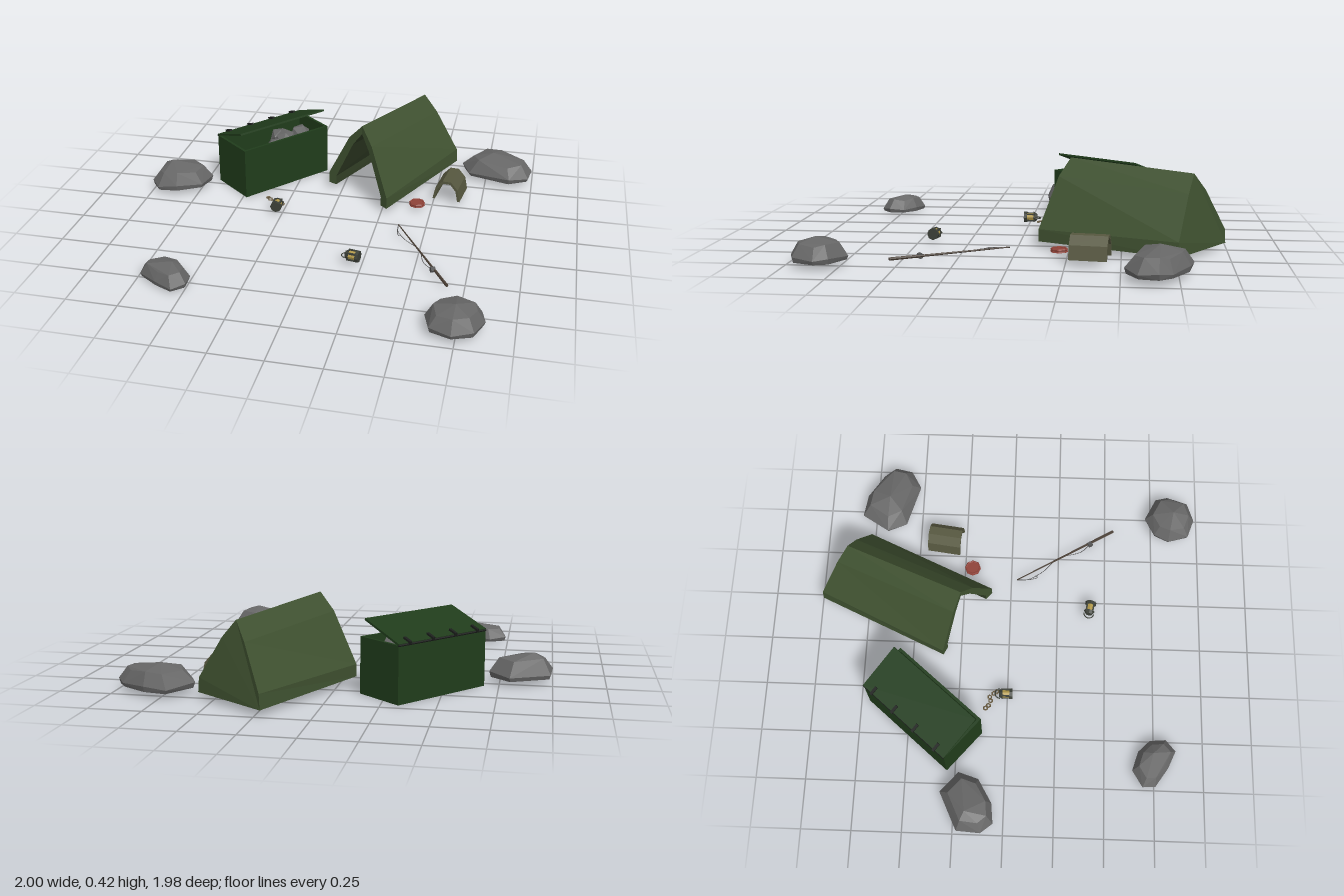
import * as THREE from 'three';
import { ConvexGeometry } from 'three/addons/geometries/ConvexGeometry.js';

const mat = (color, double) => new THREE.MeshStandardMaterial({
  color, flatShading: true, side: double ? THREE.DoubleSide : THREE.FrontSide });
const M = {
  tent: mat(0x3f5130, true), inner: mat(0x323f26, true), bin: mat(0x203c1b), dark: mat(0x1c1f1c), rock: mat(0x666666),
  seat: mat(0x56573f), red: mat(0x8f4238), wood: mat(0x4a3f35), metal: mat(0x3c4038),
  glass: mat(0xb39a4a), line: mat(0x555555), brass: mat(0x6b5d42),
};

function add(parent, name, geo, material, pos = [0, 0, 0], rot = [0, 0, 0]) {
  const m = new THREE.Mesh(geo, material);
  m.name = name;
  m.position.set(...pos);
  m.rotation.set(...rot);
  parent.add(m);
  return m;
}

function group(parent, name, pos, ry = 0) {
  const g = new THREE.Group();
  g.name = name;
  g.position.set(...pos);
  g.rotation.y = ry;
  parent.add(g);
  return g;
}

// Geometry from polygons, each fanned into triangles
function polyGeometry(polys) {
  const p = [];
  for (const q of polys)
    for (let i = 1; i < q.length - 1; i++) p.push(...q[0], ...q[i], ...q[i + 1]);
  const g = new THREE.BufferGeometry();
  g.setAttribute('position', new THREE.Float32BufferAttribute(p, 3));
  g.computeVertexNormals();
  return g;
}

// Tent: two slanted cross-sections joined by thick walls, closed at the back
function buildTent(root) {
  const g = group(root, 'tent', [0, 0, 0]);
  const section = (half, cx, cz, peakShift) => {
    const pts = [...half, ...half.slice(0, -1).reverse().map(([u, y]) => [-u, y])];
    return pts.map(([u, y]) => {
      const k = peakShift * (1 - Math.abs(u));
      return [cx + u * 0.177 - k * 0.7, y, cz + u * 0.12 + k];
    });
  };
  const outF = section([[-1, 0.03], [-1, 0.09], [-0.38, 0.335], [0, 0.42]], 0.102, -0.22, -0.025);
  const outB = section([[-1, 0.03], [-0.97, 0.1], [-0.36, 0.3], [0, 0.385]], 0.399, -0.875, 0.045);
  const inF = section([[-0.78, 0.03], [-0.78, 0.08], [-0.27, 0.3], [0, 0.375]], 0.102, -0.22, -0.025);
  const inB = section([[-0.8, 0.03], [-0.78, 0.09], [-0.28, 0.27], [0, 0.345]], 0.389, -0.85, 0.04);
  const strip = (a, b) => a.slice(1).map((_, i) => [a[i], a[i + 1], b[i + 1], b[i]]);
  const last = outF.length - 1;
  add(g, 'tentCanvas', polyGeometry([...strip(outF, outB), outB]), M.tent);
  add(g, 'tentFrontFrame', polyGeometry(strip(outF, inF)), M.tent);
  add(g, 'tentLining', polyGeometry([...strip(inF, inB), inB]), M.inner);
  add(g, 'tentHem', polyGeometry([
    ...[0, last].map(i => [outF[i], outB[i], inB[i], inF[i]]),
    [outB[0], outB[last], inB[last], inB[0]]]), M.inner);
}

// Open bin with a propped lid, hinges and stones inside
function buildBin(root) {
  const g = group(root, 'storageBin', [-0.405, 0, -0.415], 0.868);
  const L = 0.545, W = 0.262, H = 0.27, t = 0.014;
  add(g, 'binFloor', new THREE.BoxGeometry(L, t, W), M.bin, [0, t / 2, 0]);
  for (const s of [-1, 1]) {
    add(g, 'binLongWall', new THREE.BoxGeometry(L, H, t), M.bin, [0, H / 2, s * (W - t) / 2]);
    add(g, 'binEndWall', new THREE.BoxGeometry(t, H, W), M.bin, [s * (L - t) / 2, H / 2, 0]);
  }
  const lid = group(g, 'binLid', [0, H, -W / 2]);
  lid.rotation.x = -0.34;
  add(lid, 'lidPanel', new THREE.BoxGeometry(L, 0.01, 0.245), M.bin, [0, 0.003, 0.122]);
  add(g, 'hingeRod', new THREE.CylinderGeometry(0.006, 0.006, L, 6), M.dark, [0, H, -W / 2], [0, 0, Math.PI / 2]);
  for (const x of [-0.21, -0.07, 0.07, 0.21])
    add(lid, 'hinge', new THREE.BoxGeometry(0.014, 0.014, 0.045), M.dark, [x, 0.01, 0.015]);
  [[-0.02, 0.2, 0.05, 0.055], [0.06, 0.215, 0.03, 0.06], [0.15, 0.225, 0.04, 0.06],
    [0.2, 0.2, -0.03, 0.05], [0.08, 0.19, -0.05, 0.06]].forEach(([x, y, z, r], i) => {
    const s = add(g, 'storedStone', new THREE.IcosahedronGeometry(r, 0), M.rock, [x, y, z], [i, i * 2, 0]);
    s.scale.y = 0.85;
  });
}

// Rock from its plan outline: narrow base, full girth, sloping shoulder, crown
function buildRock(root, outline, y0, h, crown) {
  const n = outline.length;
  const cx = outline.reduce((a, p) => a + p[0], 0) / n;
  const cz = outline.reduce((a, p) => a + p[1], 0) / n;
  const pts = [];
  outline.forEach(([x, z], i) => {
    const ring = (k, y) => pts.push(new THREE.Vector3(cx + (x - cx) * k, y, cz + (z - cz) * k));
    ring(0.95, y0);
    ring(1, y0 + h * (0.16 + 0.08 * (i % 2)));
    ring(0.72, y0 + h * (0.74 + 0.06 * Math.sin(i * 2.3)));
  });
  pts.push(new THREE.Vector3(crown[0], y0 + h, crown[1]));
  add(root, 'rock', new ConvexGeometry(pts), M.rock);
}

// Lantern lying on its side, axis along local z, with a wire handle
function buildLantern(root, pos, ry) {
  const g = group(root, 'lantern', pos, ry);
  const r = Math.PI / 2;
  const drum = (name, r1, r2, len, z, m) =>
    add(g, name, new THREE.CylinderGeometry(r1, r2, len, 8), m, [0, 0, z], [r, 0, 0]);
  drum('lanternBase', 0.029, 0.029, 0.016, 0.026, M.metal);
  drum('lanternGlass', 0.021, 0.021, 0.04, 0, M.glass);
  drum('lanternCap', 0.029, 0.018, 0.018, -0.026, M.metal);
  for (let i = 0; i < 4; i++) {
    const a = i * r + r / 2;
    add(g, 'lanternPost', new THREE.BoxGeometry(0.008, 0.008, 0.05), M.metal,
      [Math.cos(a) * 0.024, Math.sin(a) * 0.024, 0]);
  }
  add(g, 'lanternHandle', new THREE.TorusGeometry(0.025, 0.003, 4, 8, Math.PI), M.metal,
    [0, -0.005, -0.03], [-r, 0, 0]);
}

// Small half-round shelter made of flat slats
function buildArch(root) {
  const g = group(root, 'archShelter', [0.58, 0.025, -0.36], -0.13);
  const arc = (r, h, k) => [...Array(6)].map((_, i) => {
    const a = Math.PI * i / 5;
    return [Math.cos(a) * r, Math.sin(a) * h * k];
  });
  const shape = new THREE.Shape(
    [...arc(0.073, 0.112, 1), ...arc(0.06, 0.098, 1).reverse()].map(p => new THREE.Vector2(...p)));
  const geo = new THREE.ExtrudeGeometry(shape, { depth: 0.175, bevelEnabled: false });
  geo.translate(0, 0, -0.0875);
  add(g, 'archSlats', geo, M.seat);
}

// Fishing rod lying flat, with reel and loose line
function buildRod(root) {
  const butt = new THREE.Vector3(0.67, 0.018, 0.545), tip = new THREE.Vector3(0.365, 0.018, 0.03);
  const dir = tip.clone().sub(butt), len = dir.length();
  const g = group(root, 'fishingRod', [0, 0, 0]);
  const q = new THREE.Quaternion().setFromUnitVectors(new THREE.Vector3(0, 1, 0), dir.clone().normalize());
  const rod = (name, a, b, r1, r2, m) => {
    const s = add(g, name, new THREE.CylinderGeometry(r2, r1, len * (b - a), 6), m,
      butt.clone().addScaledVector(dir, (a + b) / 2).toArray());
    s.quaternion.copy(q);
  };
  rod('rodHandle', 0, 0.28, 0.008, 0.007, M.wood);
  rod('rodShaft', 0.26, 1, 0.006, 0.003, M.wood);
  add(g, 'reel', new THREE.CylinderGeometry(0.014, 0.014, 0.022, 8), M.line, [0.588, 0.018, 0.42], [0, 0.5, Math.PI / 2]);
  const tube = (name, pts) => add(g, name, new THREE.TubeGeometry(
    new THREE.CatmullRomCurve3(pts.map(([x, z]) => new THREE.Vector3(x, 0.016, z))), 20, 0.0018, 4), M.line);
  tube('line', [[0.588, 0.42], [0.54, 0.37], [0.5, 0.25], [0.42, 0.17], [0.37, 0.09], [0.365, 0.03]]);
  tube('hook', [[0.365, 0.03], [0.372, 0.11], [0.385, 0.14], [0.392, 0.125]]);
}

export function createModel() {
  const root = new THREE.Group();
  root.name = 'campsite';
  buildTent(root);
  buildBin(root);
  buildArch(root);
  buildRod(root);

  buildRock(root, [[0.705, -0.82], [0.82, -0.8], [0.95, -0.72], [0.995, -0.66], [0.98, -0.57],
    [0.88, -0.515], [0.66, -0.58], [0.615, -0.68]], 0.028, 0.112, [0.78, -0.67]);
  buildRock(root, [[-0.8, -0.32], [-0.7, -0.23], [-0.73, -0.13], [-0.85, -0.06], [-0.95, -0.05],
    [-1, -0.11], [-0.99, -0.23]], 0.028, 0.12, [-0.91, -0.19]);
  buildRock(root, [[-0.655, 0.64], [-0.56, 0.67], [-0.5, 0.73], [-0.495, 0.81], [-0.55, 0.86],
    [-0.64, 0.82], [-0.735, 0.755], [-0.74, 0.69]], 0.01, 0.09, [-0.58, 0.74]);
  buildRock(root, [[0.735, 0.715], [0.85, 0.775], [0.87, 0.84], [0.83, 0.945], [0.735, 0.98],
    [0.635, 0.945], [0.605, 0.84], [0.64, 0.765]], 0.028, 0.105, [0.74, 0.86]);

  buildLantern(root, [-0.28, 0.042, -0.008], 0);
  buildLantern(root, [0.205, 0.045, 0.42], 1.4);

  // Loose bits beside the first lantern
  [[-0.355, -0.11], [-0.34, -0.095], [-0.315, -0.085], [-0.295, -0.09], [-0.275, -0.07], [-0.265, -0.055]]
    .forEach(([x, z], i) => add(root, 'chainLink',
      new THREE.TorusGeometry(0.01, 0.004, 4, 6), M.brass, [x, 0.02, z], [Math.PI / 2 + 0.3 * (i % 2), 0, i]));

  // Red dish
  add(root, 'dish', new THREE.CylinderGeometry(0.036, 0.042, 0.014, 8), M.red, [0.425, 0.022, -0.21]);
  add(root, 'dishRim', new THREE.TorusGeometry(0.036, 0.006, 5, 8), M.red, [0.425, 0.027, -0.21], [Math.PI / 2, 0, 0]);
  return root;
}
